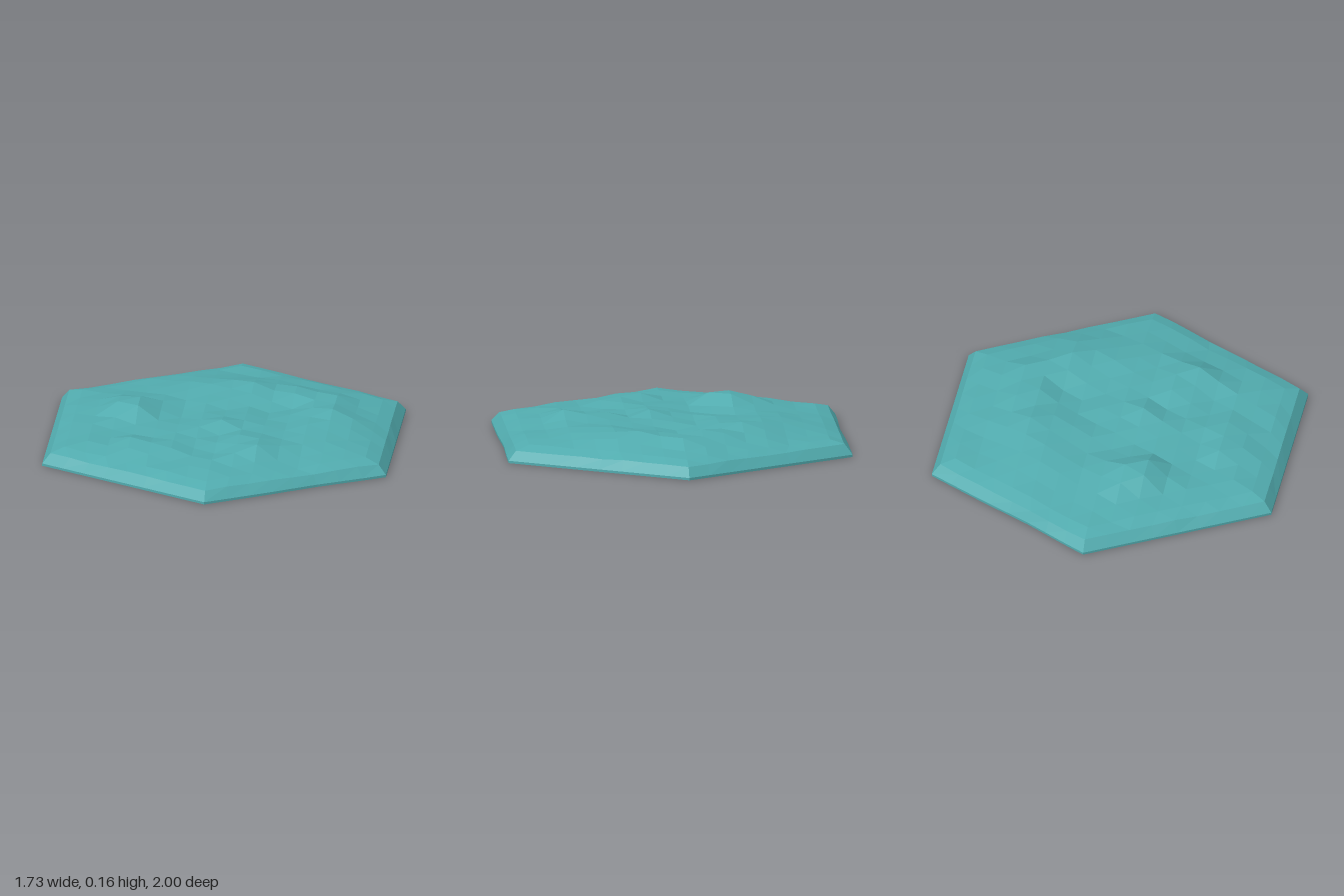
import * as THREE from 'three';

const N = 8;                       // lattice rings from centre to rim
const DX = Math.sqrt(3) / 2 / N;   // column spacing
const DZ = 1 / N;                  // row spacing
const RIM = 0.955;

// hills and hollows: x, z, height, radius
const BUMPS = [
  [-0.43, -0.12, 0.045, 0.13], [-0.45, 0, 0.022, 0.1], [-0.56, -0.12, 0.02, 0.18],
  [-0.3, -0.06, -0.022, 0.08], [-0.45, 0.24, -0.022, 0.12], [-0.24, 0.04, -0.012, 0.1],
  [0.2, 0.48, 0.042, 0.14], [0.38, 0.58, -0.022, 0.11], [0.02, 0.45, -0.012, 0.09],
  [-0.38, 0.46, 0.025, 0.14], [-0.43, 0.62, -0.014, 0.1], [-0.1, 0.62, -0.01, 0.13],
  [0.43, -0.32, 0.035, 0.17], [0.3, -0.17, -0.02, 0.09], [0.5, 0.05, 0.03, 0.2],
  [0.64, -0.05, 0.025, 0.15], [0, 0.1, 0.034, 0.14], [0, 0.25, -0.014, 0.09],
  [0.1, 0.3, 0.022, 0.1], [0.1, -0.42, 0.036, 0.18], [-0.2, -0.45, 0.02, 0.16],
  [-0.55, -0.42, -0.015, 0.18], [0, -0.75, -0.015, 0.18]
];

// repeatable noise for a lattice point, -1 to 1
function noise(q, r) {
  const s = Math.sin(q * 127.1 + r * 311.7) * 43758.5453;
  return (s - Math.floor(s)) * 2 - 1;
}

// terrain vertex at axial lattice coordinates
function groundPoint(q, r) {
  const ring = Math.max(Math.abs(q), Math.abs(r), Math.abs(q + r));
  const x = q * DX, z = r * DZ + q * DZ / 2;
  if (ring === N) return new THREE.Vector3(x * RIM, 0.06 + 0.004 * noise(q, r), z * RIM);
  let y = 0.107 + 0.009 * noise(q, r);
  for (const [bx, bz, h, w] of BUMPS) {
    y += h * Math.exp(-((x - bx) ** 2 + (z - bz) ** 2) / (w * w));
  }
  const t = Math.min(1, (N - ring) / 3);          // settle towards the rim
  return new THREE.Vector3(x, 0.062 + (y - 0.062) * (0.15 + 0.85 * t), z);
}

function surface(name, points, material) {
  const geometry = new THREE.BufferGeometry().setFromPoints(points);
  geometry.computeVertexNormals();
  const mesh = new THREE.Mesh(geometry, material);
  mesh.name = name;
  return mesh;
}

export function createModel() {
  const group = new THREE.Group();
  group.name = 'hexTerrainTile';
  const material = new THREE.MeshStandardMaterial({
    color: 0x51abae, flatShading: true, side: THREE.DoubleSide
  });

  // faceted ground on a triangular lattice
  const ground = [];
  const inside = ([q, r]) => Math.max(Math.abs(q), Math.abs(r), Math.abs(q + r)) <= N;
  for (let q = -N; q <= N; q++) {
    for (let r = -N; r <= N; r++) {
      const triangles = [
        [[q, r], [q, r + 1], [q + 1, r]],
        [[q + 1, r], [q, r + 1], [q + 1, r + 1]]
      ];
      for (const tri of triangles) {
        if (tri.every(inside)) ground.push(...tri.map(([a, b]) => groundPoint(a, b)));
      }
    }
  }
  group.add(surface('ground', ground, material));

  // rim lattice points in order around the hexagon
  const corners = [[N, 0], [0, N], [-N, N], [-N, 0], [0, -N], [N, -N]];
  const loop = [];
  corners.forEach(([q, r], i) => {
    const [q2, r2] = corners[(i + 1) % 6];
    for (let k = 0; k < N; k++) loop.push([q + (q2 - q) * k / N, r + (r2 - r) * k / N]);
  });

  // outer edge with slight dents on two opposite sides
  const edgePoint = (q, r, y) => {
    const x = q * DX, z = r * DZ + q * DZ / 2;
    const dent = (dx, dz) => 0.01 * Math.exp(-((x - dx) ** 2 + (z - dz) ** 2) / 0.03);
    const s = 1 - dent(-0.54, -0.69) - dent(0.54, 0.69);
    return new THREE.Vector3(x * s, y, z * s);
  };
  const bands = [
    ['bevel', groundPoint, (q, r) => edgePoint(q, r, 0.012)],
    ['baseEdge', (q, r) => edgePoint(q, r, 0.012), (q, r) => edgePoint(q, r, 0)]
  ];
  for (const [name, upper, lower] of bands) {
    const points = [];
    loop.forEach((a, i) => {
      const b = loop[(i + 1) % loop.length];
      points.push(upper(...a), upper(...b), lower(...b));
      points.push(upper(...a), lower(...b), lower(...a));
    });
    group.add(surface(name, points, material));
  }
  return group;
}
